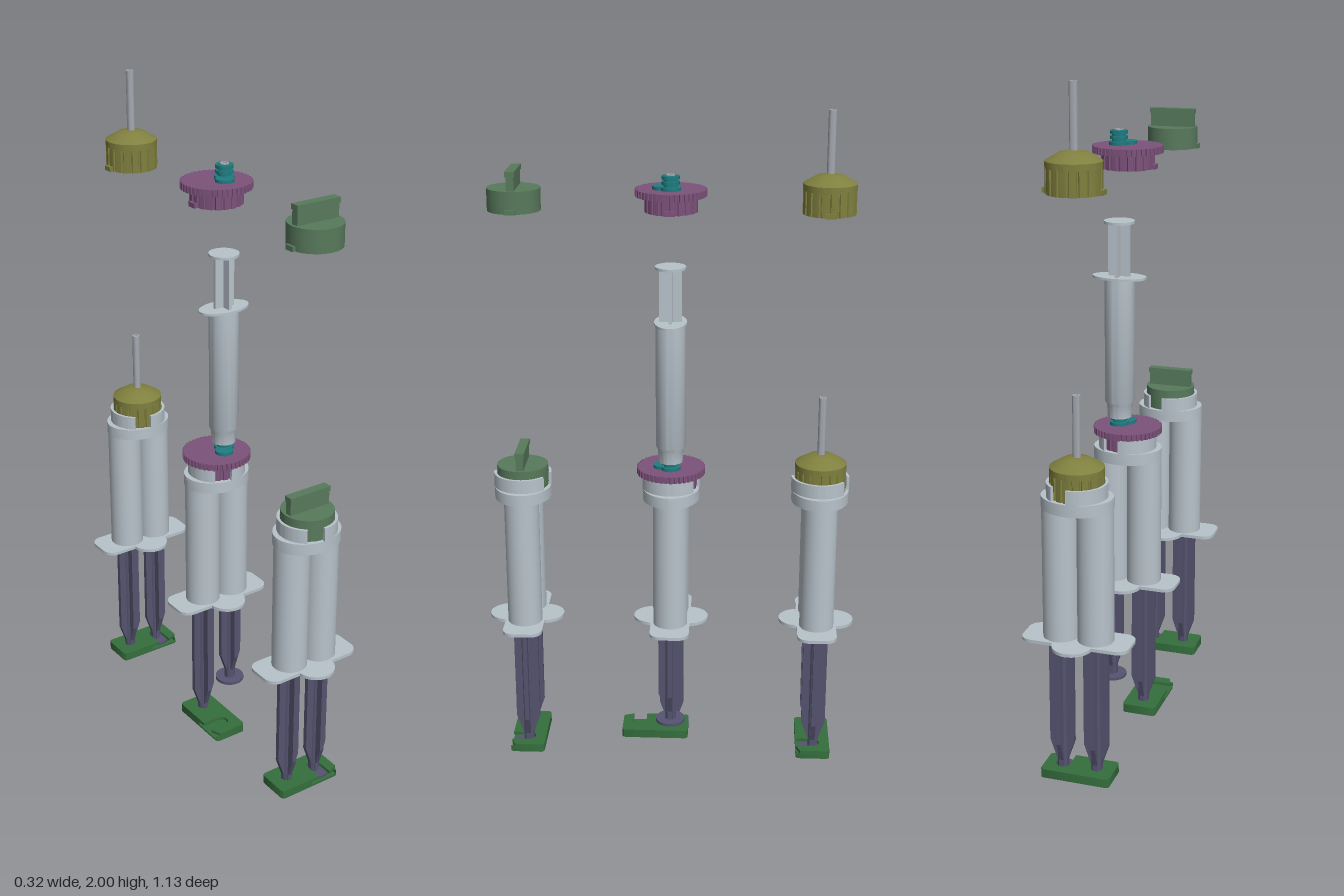
import * as THREE from 'three';
import { toCreasedNormals } from 'three/addons/utils/BufferGeometryUtils.js';

const mat = (name, color) => Object.assign(new THREE.MeshStandardMaterial({ color }), { name });
const M = {
  barrel: mat('pale grey plastic', 0xb8c3cb),
  rod: mat('dusky violet', 0x55536f),
  plate: mat('clip green', 0x356f3d),
  cap: mat('sage green', 0x587a5c),
  mixer: mat('olive', 0x80803f),
  ring: mat('plum', 0x7d527b),
  port: mat('teal', 0x1f7c80),
  plug: mat('brick brown', 0x8c4a36),
  tube: mat('tube grey', 0xa4a9b0),
};

function add(parent, name, geo, material, x = 0, y = 0, z = 0) {
  const mesh = new THREE.Mesh(geo, material);
  mesh.name = name;
  mesh.position.set(x, y, z);
  parent.add(mesh);
  return mesh;
}
function group(parent, name, x = 0, y = 0, z = 0) {
  const g = new THREE.Group();
  g.name = name;
  g.position.set(x, y, z);
  parent.add(g);
  return g;
}
// Horizontal slab standing on y = 0; shape y runs towards -z
function slab(shape, height) {
  const geo = new THREE.ExtrudeGeometry(shape, { depth: height, bevelEnabled: false, curveSegments: 20 });
  return toCreasedNormals(geo.rotateX(-Math.PI / 2), 0.6);
}
// Cylinder standing on y = 0
const cyl = (rBottom, rTop, h, n = 32) => new THREE.CylinderGeometry(rTop, rBottom, h, n).translate(0, h / 2, 0);

function oval(rx, ry, hole = 0) {
  const s = new THREE.Shape();
  s.absellipse(0, 0, rx, ry, 0, Math.PI * 2, false, 0);
  if (hole) s.holes.push(new THREE.Path().absarc(0, 0, hole, 0, Math.PI * 2, true));
  return s;
}
function toothed(rOut, rIn, teeth, hole = 0, fill = 0.5) {
  const pts = [];
  for (let i = 0; i < teeth; i++) {
    [[0, rOut], [fill, rOut], [fill + 0.08, rIn], [0.92, rIn]].forEach(([t, r]) => {
      const a = ((i + t) / teeth) * Math.PI * 2;
      pts.push(new THREE.Vector2(Math.cos(a) * r, Math.sin(a) * r));
    });
  }
  const s = new THREE.Shape(pts);
  if (hole) s.holes.push(new THREE.Path().absarc(0, 0, hole, 0, Math.PI * 2, true));
  return s;
}
function arcWall(r0, r1, a0, a1) {
  const s = new THREE.Shape();
  s.absarc(0, 0, r1, a0, a1, false);
  s.absarc(0, 0, r0, a1, a0, true);
  return s;
}
function roundedRect(w, d, r) {
  const s = new THREE.Shape(), H = Math.PI / 2;
  [[1, 1], [-1, 1], [-1, -1], [1, -1]].forEach(([sx, sy], i) =>
    s.absarc(sx * (w - r), sy * (d - r), r, i * H, (i + 1) * H, false));
  return s;
}

// Clip plate with a side-opening keyhole for the second thumb disc
function slottedPlate(w) {
  const s = new THREE.Shape(), c = 0.052, r = 0.012;
  s.moveTo(-0.105 + r, -0.053);
  s.lineTo(c - w, -0.053);
  s.lineTo(c - w, 0);
  s.absarc(c, 0, w, Math.PI, 0, true);
  s.lineTo(c + w, -0.053);
  s.lineTo(0.105, -0.04);
  s.absarc(0.105 - r, 0.053 - r, r, 0, Math.PI / 2, false);
  s.absarc(-0.105 + r, 0.053 - r, r, Math.PI / 2, Math.PI, false);
  s.absarc(-0.105 + r, -0.053 + r, r, Math.PI, Math.PI * 1.5, false);
  return s;
}
function clipPlate(parent, open) {
  const pivot = group(parent, 'clipPlate', -0.052);
  if (open) pivot.rotation.y = -Math.PI / 2;
  add(pivot, 'plateBase', slab(roundedRect(0.105, 0.053, 0.012), 0.006), M.plate, 0.052);
  add(pivot, 'plateRim', slab(slottedPlate(0.047), 0.011), M.plate, 0.052, 0.006);
  add(pivot, 'plateTop', slab(slottedPlate(0.021), 0.01), M.plate, 0.052, 0.017);
}

// Cross-section rod with a tapered foot and thumb disc
function plunger(parent, x, lift) {
  const g = group(parent, 'plunger', x, lift, 0);
  const fin = new THREE.Shape([[-0.037, 0.44], [-0.037, 0.105], [-0.016, 0.045], [-0.016, 0.012],
    [0.016, 0.012], [0.016, 0.045], [0.037, 0.105], [0.037, 0.44]].map(p => new THREE.Vector2(...p)));
  for (let i = 0; i < 2; i++) {
    const geo = new THREE.ExtrudeGeometry(fin, { depth: 0.014, bevelEnabled: false });
    add(g, 'rodFin', geo.translate(0, 0, -0.007).rotateY(i * Math.PI / 2), M.rod);
  }
  add(g, 'rodCore', cyl(0.016, 0.016, 0.42, 16), M.rod, 0, 0.015);
  add(g, 'thumbDisc', cyl(0.045, 0.045, 0.009), M.rod, 0, 0.007);
}

// Twin-barrel cartridge with finger flange and bayonet collar
function cartridge(parent, z, open) {
  const g = group(parent, 'cartridge', 0, 0, z);
  clipPlate(g, open);
  for (const s of [-1, 1]) {
    plunger(g, s * 0.052, open && s > 0 ? 0.09 : 0);
    add(g, 'barrel', cyl(0.0525, 0.0525, 0.425, 40), M.barrel, s * 0.052, 0.44);
    add(g, 'flangeLobe', slab(oval(0.059, 0.062), 0.0098), M.barrel, 0, 0.4301, s * 0.053);
  }
  add(g, 'barrelWeb', new THREE.BoxGeometry(0.03, 0.425, 0.02), M.barrel, 0, 0.6525);
  add(g, 'fingerFlange', slab(roundedRect(0.16, 0.06, 0.035), 0.01), M.barrel, 0, 0.43);
  add(g, 'collarBase', slab(oval(0.104, 0.086), 0.035), M.barrel, 0, 0.836);
  for (const a of [-1.62, -1.62 + Math.PI]) {
    add(g, 'collarWall', slab(arcWall(0.0785, 0.087, a, a + 2.55), 0.042), M.barrel, 0, 0.87);
  }
  return g;
}

// Shared underside of a closure: twin plugs and locking tabs
function closureInside(g, plugMat, tabMat) {
  for (const s of [-1, 1]) {
    add(g, 'plug', cyl(0.023, 0.025, 0.045, 24), plugMat, s * 0.034, 0.012);
    add(g, 'lockTab', new THREE.BoxGeometry(0.014, 0.014, 0.03), tabMat, s * 0.078, 0.007);
  }
  add(g, 'plugBridge', new THREE.BoxGeometry(0.06, 0.03, 0.018), plugMat, 0, 0.035);
}
// Plain cap with a grip fin
function finCap(parent, y, z) {
  const g = group(parent, 'finCap', 0, y, z);
  add(g, 'skirt', slab(oval(0.077, 0.077, 0.067), 0.05), M.cap);
  add(g, 'lid', cyl(0.077, 0.077, 0.015, 48), M.cap, 0, 0.05);
  add(g, 'gripFin', new THREE.BoxGeometry(0.136, 0.042, 0.022), M.cap, 0, 0.084);
  add(g, 'gripFinTop', new THREE.BoxGeometry(0.14, 0.015, 0.028), M.cap, 0, 0.1125);
  closureInside(g, M.plug, M.cap);
}
// Ribbed cap with a slender outlet tube
function tubeCap(parent, y, z) {
  const g = group(parent, 'tubeCap', 0, y, z);
  add(g, 'ribbedSkirt', slab(toothed(0.077, 0.073, 18, 0.067, 0.7), 0.08), M.mixer);
  const dome = [[0, 0.068], [0.077, 0.068], [0.077, 0.086], [0.04, 0.108], [0.015, 0.113], [0, 0.113]];
  add(g, 'dome', toCreasedNormals(new THREE.LatheGeometry(dome.map(p => new THREE.Vector2(...p)), 48), 0.5), M.mixer);
  add(g, 'outletTube', slab(oval(0.0115, 0.0115, 0.005), 0.18), M.tube, 0, 0.11);
  closureInside(g, M.plug, M.mixer);
}
// Toothed ring closure with an off-centre filling port
function portCap(parent, y) {
  const g = group(parent, 'portCap', 0, y, 0);
  add(g, 'ribbedSkirt', slab(toothed(0.077, 0.073, 20, 0.066, 0.6), 0.046), M.ring);
  add(g, 'toothedDisc', slab(toothed(0.103, 0.099, 44), 0.02), M.ring, 0, 0.045);
  closureInside(g, M.port, M.ring);
  add(g, 'portBase', cyl(0.029, 0.029, 0.012), M.port, 0.027, 0.063);
  add(g, 'portBaseLobe', cyl(0.027, 0.027, 0.0115), M.port, 0.01, 0.063, 0.026);
  add(g, 'portNeck', slab(oval(0.02, 0.02, 0.008), 0.044), M.port, 0.027, 0.063);
  for (const h of [0.082, 0.097]) add(g, 'portThread', slab(oval(0.026, 0.026, 0.018), 0.009), M.port, 0.027, h);
  add(g, 'portNozzle', slab(oval(0.013, 0.013, 0.007), 0.004), M.tube, 0.027, 0.1055);
}
// Single syringe seated on the port
function syringe(parent) {
  const g = group(parent, 'syringe', 0.026);
  const body = [[0, 0.962], [0.036, 0.962], [0.038, 1.0], [0.044, 1.012], [0.044, 1.388], [0, 1.388]];
  add(g, 'syringeBarrel', toCreasedNormals(new THREE.LatheGeometry(body.map(p => new THREE.Vector2(...p)), 40), 0.5), M.barrel);
  add(g, 'syringeFlange', slab(oval(0.082, 0.048), 0.007), M.barrel, 0, 1.387);
  for (let i = 0; i < 2; i++) {
    add(g, 'syringeRodFin', new THREE.BoxGeometry(0.066, 0.16, 0.01).rotateY(i * Math.PI / 2), M.barrel, 0, 1.472);
  }
  add(g, 'syringeThumbDisc', cyl(0.045, 0.045, 0.008), M.barrel, 0, 1.55);
}

export function createModel() {
  const model = new THREE.Group();
  model.name = 'dualSyringeSet';
  const loose = 1.712, seated = 0.872;
  cartridge(model, 0.45, false);
  cartridge(model, 0, true);
  cartridge(model, -0.45, false);
  for (const y of [loose, seated]) {
    finCap(model, y, 0.45);
    portCap(model, y);
    tubeCap(model, y - 0.002, -0.45);
  }
  syringe(model);
  return model;
}
